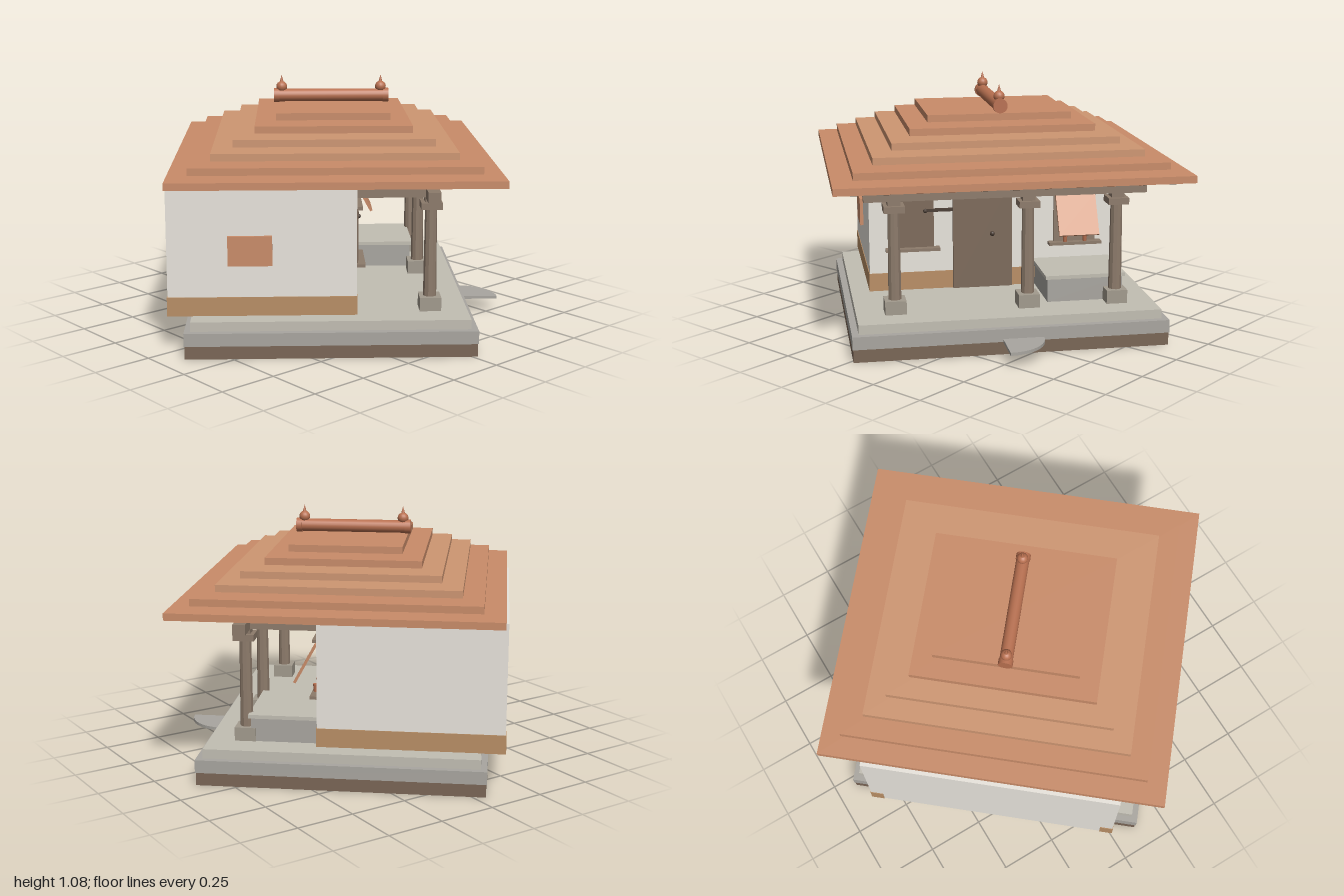
import * as THREE from 'three';

const mat = (color) => new THREE.MeshStandardMaterial({ color, flatShading: true });
const M = {
  wall: mat(0xe8e4dc), band: mat(0xb98f66), roof: mat(0xc98c69), roofLight: mat(0xce9672),
  rafter: mat(0x5a4535), wood: mat(0x8d7b6b), door: mat(0x7d6a5a), dark: mat(0x4a3d34),
  earth: mat(0x7a6656), stone: mat(0xa9a6a0), deck: mat(0xc2beb3), footing: mat(0xa29b8e),
  clay: new THREE.MeshStandardMaterial({ color: 0xb87050 }),
};

export function createModel() {
  const model = new THREE.Group();
  model.name = 'porchHouse';
  const house = new THREE.Group();
  house.name = 'house';
  house.rotation.y = THREE.MathUtils.degToRad(50);
  model.add(house);

  const add = (name, geo, material, x = 0, y = 0, z = 0) => {
    const mesh = new THREE.Mesh(geo, material);
    mesh.name = name;
    mesh.position.set(x, y, z);
    house.add(mesh);
    return mesh;
  };
  // Box given by its min and max on each axis
  const box = (name, material, x0, x1, y0, y1, z0, z1) =>
    add(name, new THREE.BoxGeometry(x1 - x0, y1 - y0, z1 - z0), material,
      (x0 + x1) / 2, (y0 + y1) / 2, (z0 + z1) / 2);

  // Stepped plinth
  box('plinthBottom', M.earth, -0.665, 0.665, 0, 0.055, -0.616, 0.582);
  box('plinthMiddle', M.stone, -0.668, 0.668, 0.055, 0.11, -0.619, 0.585);
  box('deck', M.deck, -0.64, 0.64, 0.11, 0.15, -0.593, 0.557);

  // Half-round entrance stone
  add('entranceStone', new THREE.CylinderGeometry(0.172, 0.172, 0.013, 24, 1, false, 0, Math.PI),
    M.stone, -0.045, 0.061, 0.582);
  box('entranceStoneEdge', M.stone, -0.046, -0.044, 0.0545, 0.0675, 0.41, 0.754);

  // Walls with a painted band on the front and sides, returning at the back corners
  box('walls', M.wall, -0.555, 0.555, 0.15, 0.7, -0.69, 0.09);
  box('frontBand', M.band, -0.558, 0.558, 0.149, 0.23, 0.05, 0.093);
  for (const s of [-1, 1]) {
    const [a, b] = [s * 0.5, s * 0.558].sort((p, q) => p - q);
    box('sideBand', M.band, a, b, 0.149, 0.23, -0.693, 0.06);
  }

  // Door
  box('door', M.door, -0.185, 0.08, 0.15, 0.635, 0.08, 0.105);
  add('doorKnob', new THREE.SphereGeometry(0.011, 10, 8), M.dark, -0.01, 0.395, 0.11);

  // Front windows
  for (const s of [-1, 1]) {
    const c = s * 0.365;
    box('windowPanel', s < 0 ? M.door : M.wood, c - 0.095, c + 0.095, 0.345, 0.578, 0.08, 0.1);
    box('windowLintel', M.wood, c - 0.115, c + 0.115, 0.576, 0.59, 0.08, 0.118);
    box('windowSill', M.wood, c - 0.12, c + 0.12, 0.332, 0.345, 0.08, 0.13);
  }
  box('windowLatch', M.dark, -0.31, -0.185, 0.505, 0.516, 0.09, 0.112);
  add('latchPin', new THREE.SphereGeometry(0.01, 8, 6), M.dark, -0.308, 0.51, 0.108);

  // Propped shutter, hinged at its top edge
  const shutter = add('proppedShutter',
    new THREE.BoxGeometry(0.18, 0.19, 0.012).translate(0, -0.095, 0), M.roof, 0.365, 0.56, 0.108);
  shutter.rotation.x = -0.5;

  // Pots on the sill
  for (const x of [0.32, 0.41]) {
    add('sillPot', new THREE.CylinderGeometry(0.011, 0.008, 0.035, 10), M.clay, x, 0.362, 0.115);
  }

  // Side window panel
  box('sideWindow', M.roof, -0.57, -0.55, 0.365, 0.49, -0.44, -0.257);

  // Bench beside the wall
  box('benchBody', M.stone, 0.185, 0.515, 0.15, 0.252, 0.09, 0.375);
  box('benchSlab', M.deck, 0.175, 0.525, 0.252, 0.268, 0.09, 0.385);

  // Porch columns
  for (const x of [-0.475, 0.092, 0.475]) {
    box('columnBase', M.footing, x - 0.045, x + 0.045, 0.15, 0.208, 0.355, 0.445);
    add('columnShaft', new THREE.CylinderGeometry(0.025, 0.028, 0.39, 10), M.wood, x, 0.4, 0.4);
    box('columnCapital', M.wood, x - 0.044, x + 0.044, 0.585, 0.613, 0.356, 0.444);
    box('columnBlock', M.wood, x - 0.027, x + 0.027, 0.613, 0.632, 0.373, 0.427);
  }

  // Porch beams
  box('frontBeam', M.wood, -0.6, 0.6, 0.631, 0.675, 0.375, 0.428);
  for (const x of [-0.475, 0.475]) {
    box('sideBeam', M.wood, x - 0.02, x + 0.02, 0.632, 0.673, 0.08, 0.38);
  }
  add('beamBall', new THREE.SphereGeometry(0.028, 16, 12), M.clay, -0.475, 0.694, 0.42);

  // Rafters under the eaves
  for (let i = 0; i < 11; i++) {
    const x = -0.65 + i * 0.13;
    box('rafter', M.rafter, x - 0.014, x + 0.014, 0.705, 0.72, -0.625, 0.625);
  }

  // Roof of stepped slabs with narrow gaps
  for (let i = 0; i < 6; i++) {
    const hx = 0.735 - i * 0.085, hz = 0.678 - i * 0.0875, y = 0.719 + i * 0.0413;
    box('roofTier', i === 2 || i === 3 ? M.roofLight : M.roof, -hx, hx, y, y + 0.03, -hz, hz);
  }

  // Ridge roll with end collars and finials
  const roll = (name, r, length, z) => {
    add(name, new THREE.CylinderGeometry(r, r, length, 20), M.clay, 0, 0.988, z).rotation.x = Math.PI / 2;
  };
  roll('ridgeRoll', 0.028, 0.5, 0);
  for (const s of [-1, 1]) {
    roll('ridgeCollar', 0.031, 0.025, s * 0.24);
    add('finialBall', new THREE.SphereGeometry(0.024, 16, 12), M.clay, 0, 1.026, s * 0.218);
    add('finialTip', new THREE.ConeGeometry(0.01, 0.036, 10), M.clay, 0, 1.06, s * 0.218);
  }
  return model;
}
